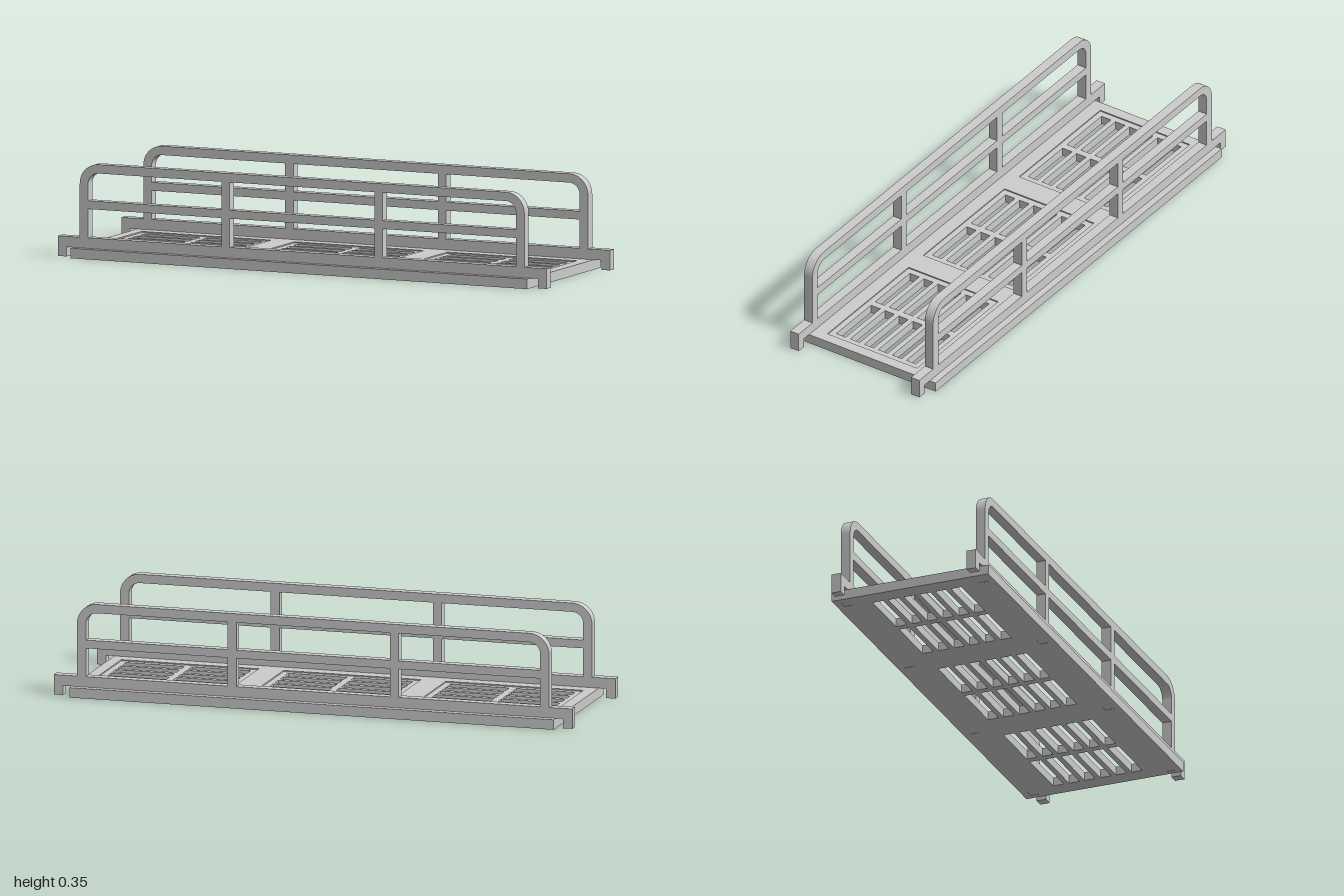
import * as THREE from 'three';

const steel = new THREE.MeshStandardMaterial({ color: 0xcccccc });
steel.name = 'light grey steel';

const DECK_H = 0.0375, FLOOR_H = 0.033;
const PANELS = [-0.626, 0, 0.626];
const POSTS = [-0.893, -0.313, 0.313, 0.893];
const RAIL_Z = [-0.268, 0.271];

// Rectangle outline, for shapes and holes alike
function rect(x0, y0, x1, y1, Type = THREE.Path) {
  const p = new Type();
  p.moveTo(x0, y0).lineTo(x1, y0).lineTo(x1, y1).lineTo(x0, y1).closePath();
  return p;
}

function extrude(shape, depth, name) {
  const geo = new THREE.ExtrudeGeometry(shape, { depth, bevelEnabled: false, curveSegments: 6 });
  const mesh = new THREE.Mesh(geo, steel);
  mesh.name = name;
  return mesh;
}

// Deck: slotted plate with post sockets, thin upper frame with three shallow recesses
function makeDeck() {
  const deck = new THREE.Group();
  deck.name = 'deck';
  const lower = rect(-0.936, -0.313, 0.932, 0.313, THREE.Shape);
  const upper = rect(-0.936, -0.313, 0.932, 0.313, THREE.Shape);
  for (const panel of PANELS) {
    const cx = panel - 0.002;
    upper.holes.push(rect(cx - 0.265, -0.2, cx + 0.265, 0.2));
    for (const side of [-1, 1]) {
      const sx = cx + side * 0.127;
      for (let row = 0; row < 6; row++) {
        const z = (row - 2.5) * 0.0625;
        lower.holes.push(rect(sx - 0.113, z - 0.021, sx + 0.113, z + 0.021));
      }
    }
  }
  for (const z of RAIL_Z) {
    for (const x of POSTS) {
      lower.holes.push(rect(x - 0.017, -z - 0.0185, x + 0.017, -z + 0.0185));
      const foot = new THREE.Mesh(new THREE.BoxGeometry(0.034, DECK_H - 0.001, 0.037), steel);
      foot.name = 'postFoot';
      foot.position.set(x, (DECK_H + 0.001) / 2, z);
      deck.add(foot);
    }
  }
  const floor = extrude(lower, FLOOR_H, 'slottedFloor');
  const frame = extrude(upper, DECK_H - FLOOR_H, 'deckFrame');
  floor.rotation.x = frame.rotation.x = -Math.PI / 2;
  frame.position.y = FLOOR_H;
  deck.add(floor, frame);
  return deck;
}

// Railing: base bar with hooked ends, rounded hoop, posts and middle rail
function makeRailing(name, z) {
  const s = new THREE.Shape();
  const w = 0.91, top = 0.352, r = 0.075, base = 0.077;
  s.moveTo(-1, 0.002).lineTo(-0.965, 0.002).lineTo(-0.965, DECK_H);
  s.lineTo(0.965, DECK_H).lineTo(0.965, 0.002).lineTo(1, 0.002);
  s.lineTo(1, base).lineTo(w, base).lineTo(w, top - r);
  s.absarc(w - r, top - r, r, 0, Math.PI / 2, false);
  s.lineTo(-w + r, top);
  s.absarc(-w + r, top - r, r, Math.PI / 2, Math.PI, false);
  s.lineTo(-w, base).lineTo(-1, base).closePath();

  // Window openings, the outer upper ones with a rounded corner
  const inX = 0.876, inTop = 0.319, ir = 0.042, postIn = 0.296, postOut = 0.33;
  const midLow = 0.184, midHigh = 0.215;
  for (const [x0, x1] of [[-inX, -postOut], [-postIn, postIn], [postOut, inX]]) {
    s.holes.push(rect(x0, base, x1, midLow));
  }
  s.holes.push(rect(-postIn, midHigh, postIn, inTop));
  const right = new THREE.Path();
  right.moveTo(postOut, midHigh).lineTo(inX, midHigh).lineTo(inX, inTop - ir);
  right.absarc(inX - ir, inTop - ir, ir, 0, Math.PI / 2, false);
  right.lineTo(postOut, inTop).closePath();
  const left = new THREE.Path();
  left.moveTo(-inX, midHigh).lineTo(-postOut, midHigh).lineTo(-postOut, inTop);
  left.lineTo(-inX + ir, inTop);
  left.absarc(-inX + ir, inTop - ir, ir, Math.PI / 2, Math.PI, false);
  left.closePath();
  s.holes.push(right, left);
  const railing = extrude(s, 0.037, name);
  railing.position.z = z - 0.0185;
  return railing;
}

export function createModel() {
  const model = new THREE.Group();
  model.name = 'railedPlatform';
  model.add(
    makeDeck(),
    makeRailing('backRailing', RAIL_Z[0]),
    makeRailing('frontRailing', RAIL_Z[1])
  );
  return model;
}
